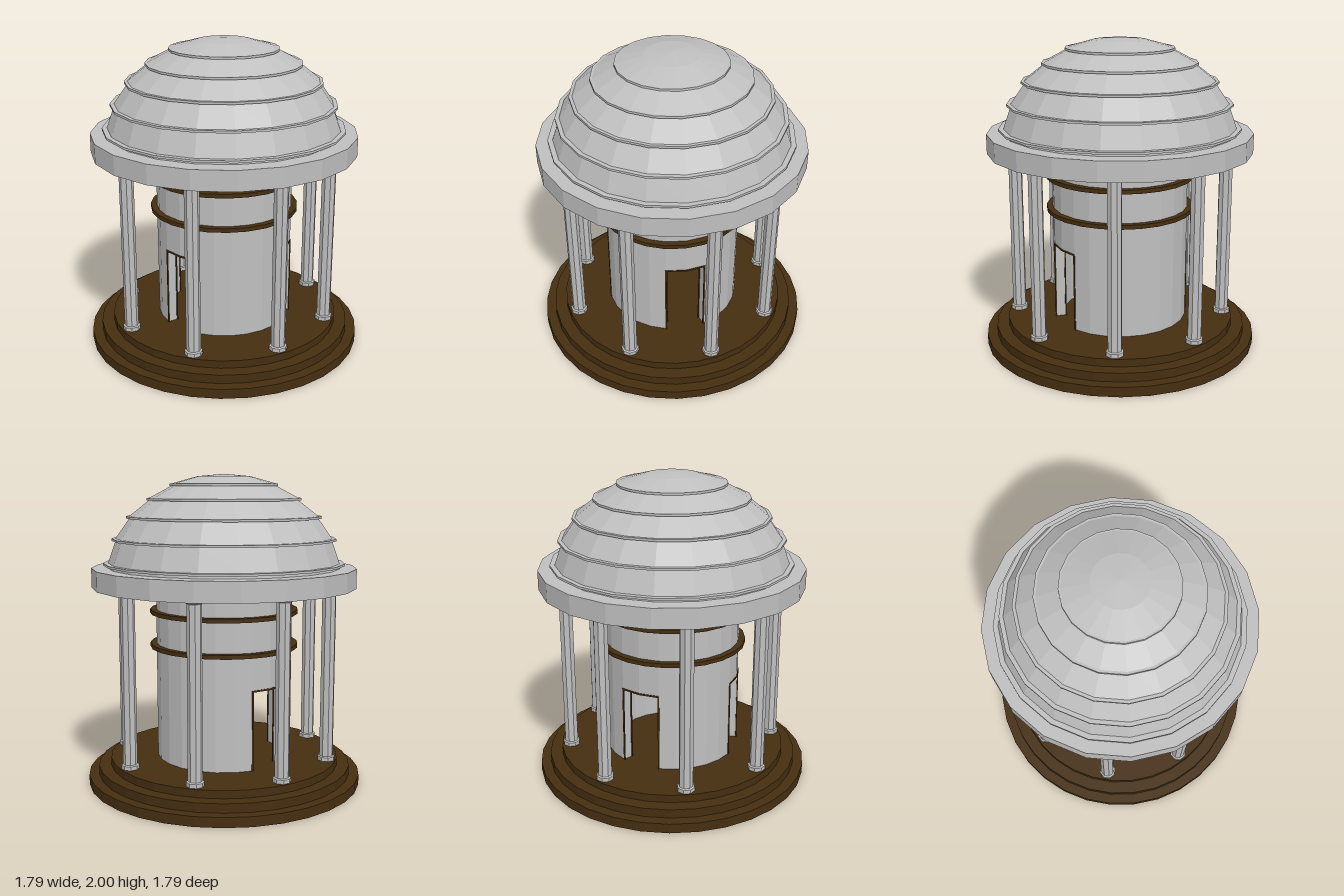
import * as THREE from 'three';

const stone = new THREE.MeshStandardMaterial({ name: 'pale stone', color: 0xbfbfbf, flatShading: true });
const bronze = new THREE.MeshStandardMaterial({ name: 'dark bronze', color: 0x452e10, flatShading: true });
const bronzeShell = new THREE.MeshStandardMaterial({
  name: 'dark bronze shell', color: 0x452e10, flatShading: true, side: THREE.DoubleSide,
});

const rad = THREE.MathUtils.degToRad;

function add(parent, name, geometry, material) {
  const mesh = new THREE.Mesh(geometry, material);
  mesh.name = name;
  parent.add(mesh);
  return mesh;
}

function lathe(profile, sides) {
  return new THREE.LatheGeometry(profile.map(([r, y]) => new THREE.Vector2(r, y)), sides);
}

// Upright piece of a round wall; angles in degrees from +z towards +x
function wallArc(a0, a1, rIn, rOut, y0, y1) {
  const steps = Math.max(1, Math.round((a1 - a0) / 15));
  const outer = [], inner = [];
  for (let i = 0; i <= steps; i++) {
    const a = rad(a0 + ((a1 - a0) * i) / steps);
    const x = Math.sin(a), y = -Math.cos(a);
    outer.push(new THREE.Vector2(x * rOut, y * rOut));
    inner.unshift(new THREE.Vector2(x * rIn, y * rIn));
  }
  const geometry = new THREE.ExtrudeGeometry(new THREE.Shape([...outer, ...inner]), {
    depth: y1 - y0, bevelEnabled: false,
  });
  return geometry.rotateX(-Math.PI / 2).translate(0, y0, 0);
}

export function createModel() {
  const model = new THREE.Group();
  model.name = 'domedRotunda';

  // Stepped base, hollow underneath
  add(model, 'steppedBase', lathe([
    [0.895, 0], [0.895, 0.063], [0.83, 0.063], [0.83, 0.12], [0.75, 0.12], [0.75, 0.17], [0, 0.17],
  ], 32), bronzeShell);

  // Round chamber with three doorways
  const chamber = new THREE.Group();
  chamber.name = 'chamber';
  model.add(chamber);
  const R = 0.44, RI = 0.375, floor = 0.16, doorTop = 0.68;
  const doors = [[-43, -9], [60, 94], [215, 249]];
  doors.forEach(([a0, a1], i) => {
    const next = i < 2 ? doors[i + 1][0] : doors[0][0] + 360;
    add(chamber, 'chamberWall', wallArc(a1, next, RI, R, floor, 1.285), stone);
    add(chamber, 'wallOverDoor', wallArc(a0, a1, RI, R, doorTop, 1.285), stone);
    // Slim trim on the outer and inner edges of the opening
    for (const r of [RI - 0.004, R - 0.004]) {
      add(chamber, 'doorTrimSide', wallArc(a0 - 0.4, a0 + 0.9, r, r + 0.008, floor, doorTop), bronze);
      add(chamber, 'doorTrimSide', wallArc(a1 - 0.9, a1 + 0.4, r, r + 0.008, floor, doorTop), bronze);
      add(chamber, 'doorTrimTop', wallArc(a0 - 0.4, a1 + 0.4, r, r + 0.008, doorTop - 0.008, doorTop + 0.003), bronze);
    }
  });

  // Two bands around the chamber
  for (const y of [0.907, 1.128]) {
    add(chamber, 'chamberBand', lathe([
      [0.42, y - 0.013], [0.48, y - 0.013], [0.48, y + 0.013], [0.42, y + 0.013],
    ], 24), bronze);
  }

  // Eight columns with base and capital
  const columnProfile = [
    [0, 0.16], [0.056, 0.16], [0.056, 0.195], [0.045, 0.2],
    [0.045, 1.26], [0.06, 1.268], [0.06, 1.285], [0, 1.285],
  ];
  for (let i = 0; i < 8; i++) {
    const a = rad(i * 45 - 3);
    const column = add(model, 'column', lathe(columnProfile, 8), stone);
    column.position.set(0.685 * Math.sin(a), 0, 0.685 * Math.cos(a));
    column.rotation.y = a + Math.PI / 8;
  }

  // Cornice ring carried by the columns
  add(model, 'cornice', lathe([
    [0, 1.285], [0.85, 1.285], [0.85, 1.41], [0.7, 1.41],
  ], 20), stone);

  // Dome of tapering tiers, each starting on a projecting lip: [lip radius, lip y, foot radius]
  const tiers = [[0.774, 1.427, 0.742], [0.718, 1.582, 0.692], [0.624, 1.722, 0.604], [0.494, 1.835, 0.478], [0.347, 1.925, 0.335]];
  const dome = [[0.745, 1.405]];
  tiers.forEach(([lip, y, foot]) => {
    dome.push([foot, y], [lip, y], [lip, y + 0.014], [foot, y + 0.014]);
  });
  dome.push([0.17, 1.985], [0, 2]);
  add(model, 'dome', lathe(dome, 20), stone);

  return model;
}
